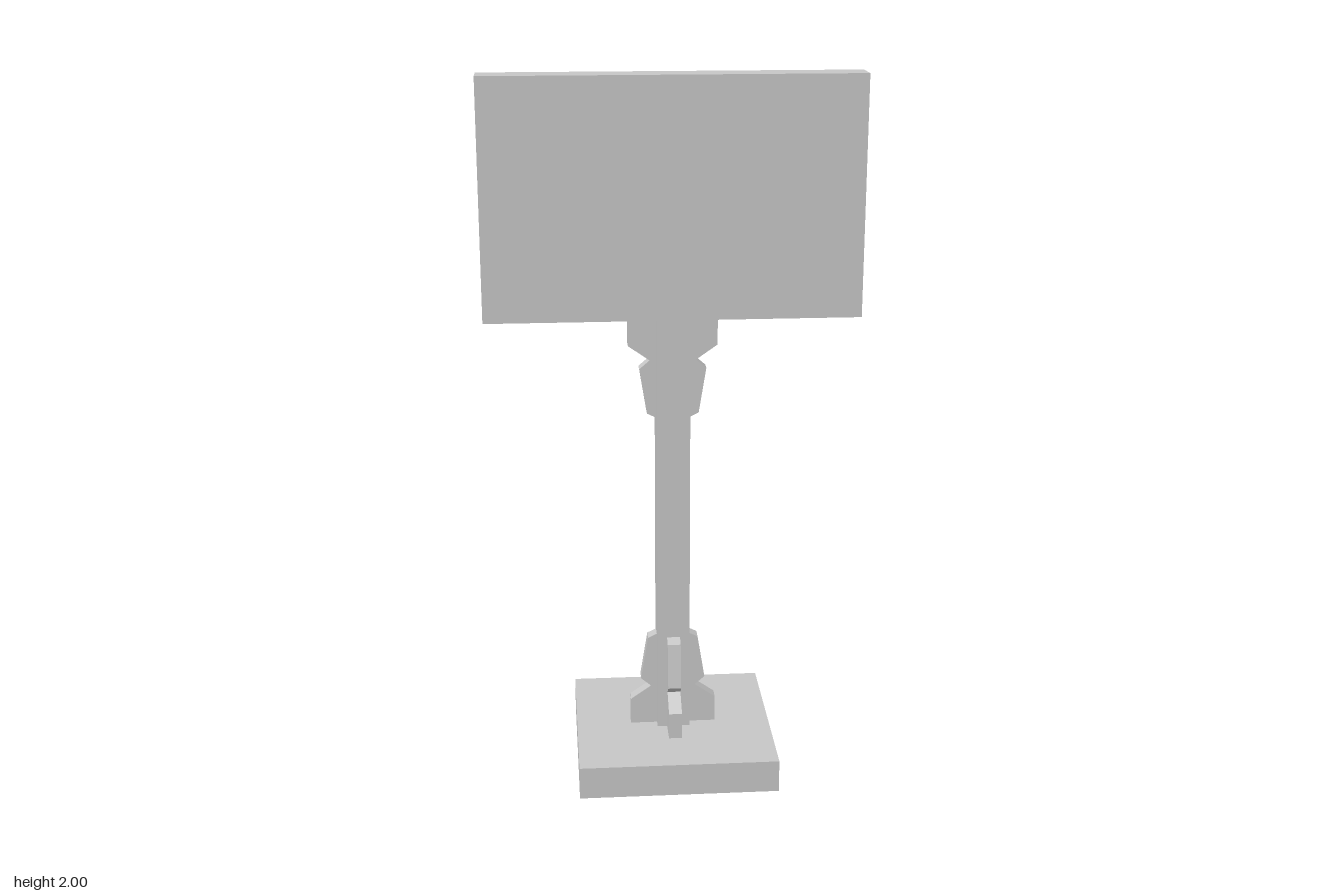
import * as THREE from 'three';

export function createModel() {
  const model = new THREE.Group();
  model.name = 'signpost';
  const grey = new THREE.MeshStandardMaterial({ color: 0xc6c6c6 });
  grey.name = 'lightGrey';

  const add = (name, geometry, parent = model) => {
    const mesh = new THREE.Mesh(geometry, grey);
    mesh.name = name;
    parent.add(mesh);
    return mesh;
  };
  const box = (name, w, h, d, bottom) => {
    add(name, new THREE.BoxGeometry(w, h, d).translate(0, bottom + h / 2, 0));
  };

  // Foot, post and sign board
  const footTop = 0.095, boardBottom = 1.335;
  box('base', 0.57, footTop, 0.57, 0);
  box('post', 0.094, boardBottom - footTop, 0.094, footTop);
  box('board', 1.046, 2 - boardBottom, 0.094, boardBottom);

  // Notched brace: distance from the post axis, height above its seat
  const profile = [
    [0.04, 0], [0.125, 0], [0.125, 0.078], [0.065, 0.12],
    [0.094, 0.145], [0.073, 0.275], [0.04, 0.291],
  ].map(([x, y]) => new THREE.Vector2(x, y));
  const thickness = 0.038;
  const braceGeometry = new THREE.ExtrudeGeometry(new THREE.Shape(profile), {
    depth: thickness, bevelEnabled: false,
  }).translate(0, 0, -thickness / 2);

  // Four braces around the foot
  const lower = new THREE.Group();
  lower.name = 'lowerBraces';
  lower.position.y = footTop;
  for (let i = 0; i < 4; i++) {
    add('lowerBrace', braceGeometry, lower).rotation.y = i * Math.PI / 2;
  }

  // Two inverted braces under the board
  const upper = new THREE.Group();
  upper.name = 'upperBraces';
  upper.position.y = boardBottom;
  upper.rotation.x = Math.PI;
  for (let i = 0; i < 2; i++) {
    add('upperBrace', braceGeometry, upper).rotation.y = i * Math.PI;
  }

  model.add(lower, upper);
  return model;
}
